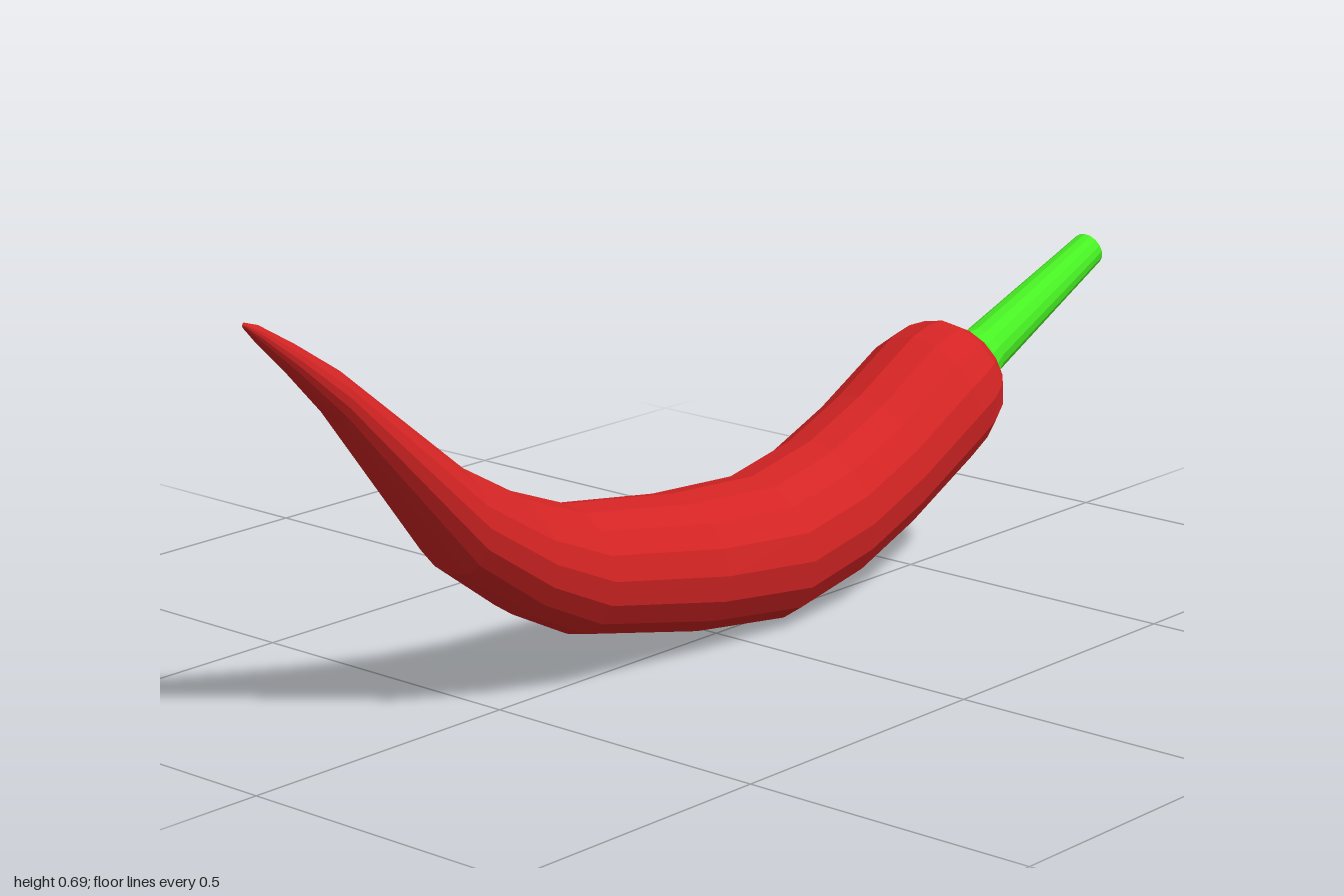
import * as THREE from 'three';

const SIDES = 16;

// Lofts rings given as [x, y, radius, lean in degrees]; a zero radius closes an end.
function loft(name, color, rings) {
  const positions = [];
  const index = [];
  for (const [x, y, r, lean] of rings) {
    const t = THREE.MathUtils.degToRad(lean);
    for (let k = 0; k < SIDES; k++) {
      const a = (k / SIDES) * Math.PI * 2;
      const up = r * Math.cos(a);
      positions.push(x - up * Math.sin(t), y + up * Math.cos(t), r * Math.sin(a));
    }
  }
  for (let i = 0; i < rings.length - 1; i++) {
    for (let k = 0; k < SIDES; k++) {
      const n = (k + 1) % SIDES;
      const a = i * SIDES + k, c = i * SIDES + n;
      const b = a + SIDES, d = c + SIDES;
      if (rings[i][2] > 0) index.push(a, c, b);
      if (rings[i + 1][2] > 0) index.push(c, d, b);
    }
  }
  const geometry = new THREE.BufferGeometry();
  geometry.setAttribute('position', new THREE.Float32BufferAttribute(positions, 3));
  geometry.setIndex(index);
  geometry.computeVertexNormals();
  const mesh = new THREE.Mesh(geometry, new THREE.MeshStandardMaterial({ color, flatShading: true }));
  mesh.name = name;
  return mesh;
}

export function createModel() {
  const group = new THREE.Group();
  group.name = 'chiliPepper';

  // Curved red pod, from the pointed tip to the shoulder
  group.add(loft('pod', 0xd42424, [
    [-1.0, 0.692, 0, 0],
    [-0.995, 0.69, 0.005, 0],
    [-0.97, 0.673, 0.014, 0],
    [-0.91, 0.627, 0.025, 0],
    [-0.83, 0.56, 0.04, 0],
    [-0.6, 0.326, 0.087, 0],
    [-0.47, 0.243, 0.097, 0],
    [-0.35, 0.19, 0.104, 0],
    [-0.1, 0.143, 0.114, 2],
    [0.1, 0.123, 0.122, 6],
    [0.25, 0.152, 0.122, 8],
    [0.38, 0.203, 0.122, 10],
    [0.53, 0.28, 0.122, 15],
    [0.575, 0.298, 0.117, 16],
    [0.61, 0.312, 0.104, 18],
    [0.637, 0.32, 0.083, 20],
  ]));

  // Green cap flowing into a tapering stem with a flat cut end
  group.add(loft('stem', 0x48f024, [
    [0.637, 0.32, 0.083, 20],
    [0.651, 0.325, 0.064, 20],
    [0.666, 0.329, 0.051, 20],
    [0.69, 0.338, 0.044, 20],
    [0.988, 0.465, 0.03, 20],
    [0.988, 0.465, 0, 20],
  ]));

  return group;
}
